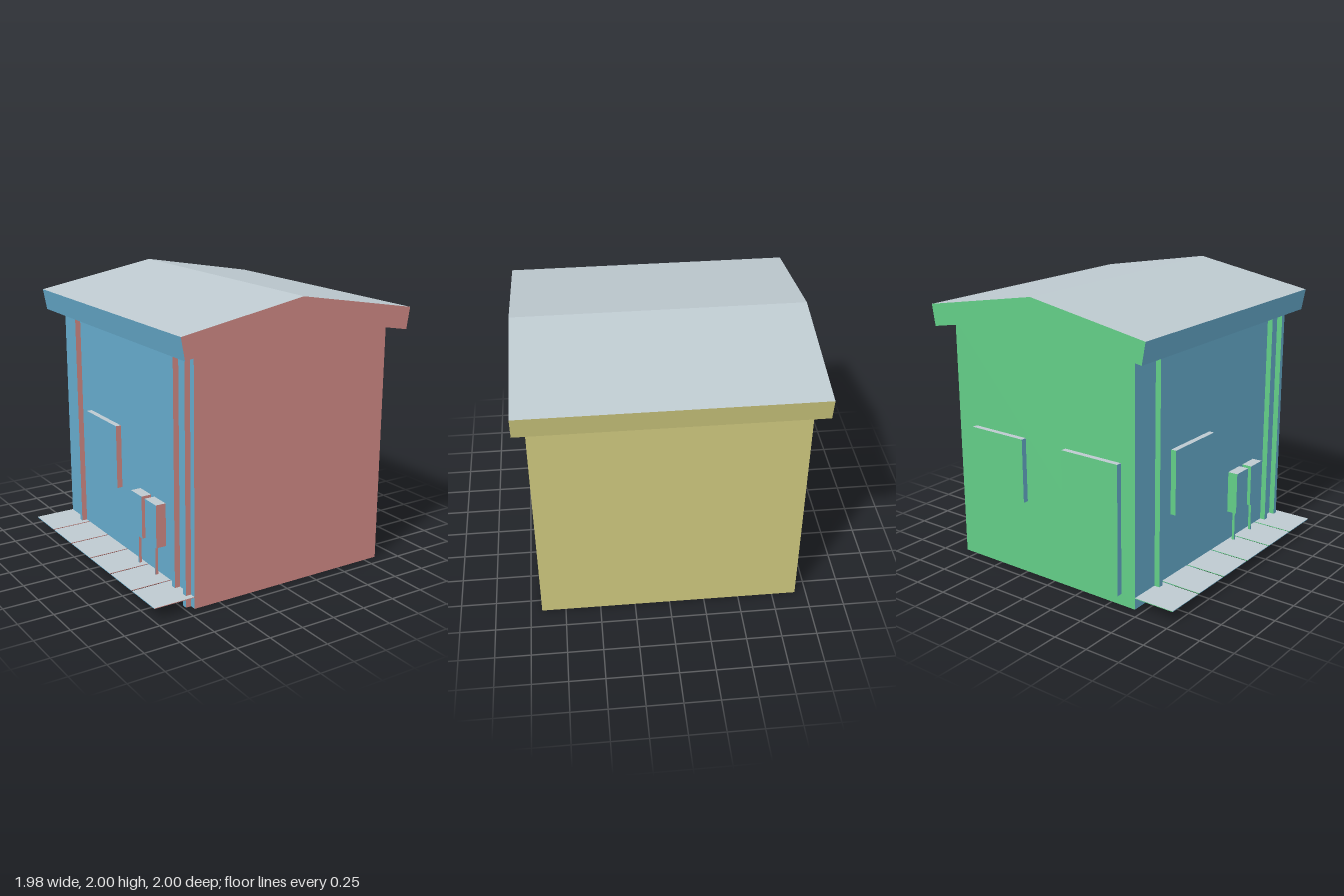
import * as THREE from 'three';

function paint(name, color) {
  const m = new THREE.MeshStandardMaterial({ color });
  m.name = name;
  return m;
}

export function createModel() {
  const model = new THREE.Group();
  model.name = 'gabledShed';

  // One colour for each facing direction
  const yellow = paint('yellow', 0xcec87e);
  const blue = paint('blue', 0x65aacb);
  const grey = paint('paleGrey', 0xbdc9cf);
  const slate = paint('slate', 0x64687d);
  const red = paint('red', 0xce8783);
  const green = paint('green', 0x62cd86);
  const facing = [yellow, blue, grey, slate, red, green]; // +x -x +y -y +z -z

  function box(name, [x0, x1], [y0, y1], [z0, z1], materials = facing) {
    const mesh = new THREE.Mesh(new THREE.BoxGeometry(x1 - x0, y1 - y0, z1 - z0), materials);
    mesh.position.set((x0 + x1) / 2, (y0 + y1) / 2, (z0 + z1) / 2);
    mesh.name = name;
    model.add(mesh);
  }

  // Extrudes an x-y outline along z and groups its triangles by facing direction
  function prism(name, outline, halfDepth) {
    const shape = new THREE.Shape(outline.map(([x, y]) => new THREE.Vector2(x, y)));
    const geo = new THREE.ExtrudeGeometry(shape, { depth: halfDepth * 2, bevelEnabled: false });
    geo.translate(0, 0, -halfDepth);
    geo.clearGroups();
    const normal = geo.attributes.normal;
    for (let i = 0; i < normal.count; i += 3) {
      const n = [normal.getX(i), normal.getY(i), normal.getZ(i)];
      const size = n.map(Math.abs);
      const axis = size.indexOf(Math.max(...size));
      geo.addGroup(i, 3, axis * 2 + (n[axis] < 0 ? 1 : 0));
    }
    const mesh = new THREE.Mesh(geo, facing);
    mesh.name = name;
    model.add(mesh);
  }

  // Walls run slightly up into the roof slab
  prism('walls', [[-0.69, 0], [0.85, 0], [0.85, 1.73], [0.08, 1.87], [-0.69, 1.73]], 0.92);
  prism('roof', [[-0.8, 1.69], [0.08, 1.848], [0.965, 1.69], [0.99, 1.842], [0.08, 2], [-0.828, 1.842]], 1);

  // Door and windows
  box('backDoor', [-0.58, -0.12], [0.08, 1], [-0.96, -0.92]);
  box('backWindow', [0.23, 0.69], [0.54, 1], [-0.96, -0.92]);
  box('sideWindow', [-0.73, -0.69], [0.54, 1], [-0.52, -0.06]);

  // Downpipes up to the eaves
  for (const z of [-0.7, 0.7, 0.84]) {
    box('downpipe', [-0.73, -0.69], [0, 1.73], [z, z + 0.035]);
  }

  // Meter boxes, each on a thin pipe
  for (const [z, pipeZ] of [[0.21, 0.243], [0.405, 0.475]]) {
    box('meterBox', [-0.765, -0.69], [0.31, 0.617], [z, z + 0.15]);
    box('meterPipe', [-0.735, -0.715], [0.08, 0.31], [pipeZ, pipeZ + 0.012]);
  }

  // Row of paving slabs
  const slabMaterials = [yellow, blue, grey, grey, red, green];
  const pitch = 1.85 / 6;
  for (let i = 0; i < 6; i++) {
    const z = -0.92 + i * pitch;
    box('pavingSlab', [-0.99, -0.69], [0.079, 0.084], [z, z + pitch - 0.012], slabMaterials);
  }

  return model;
}
